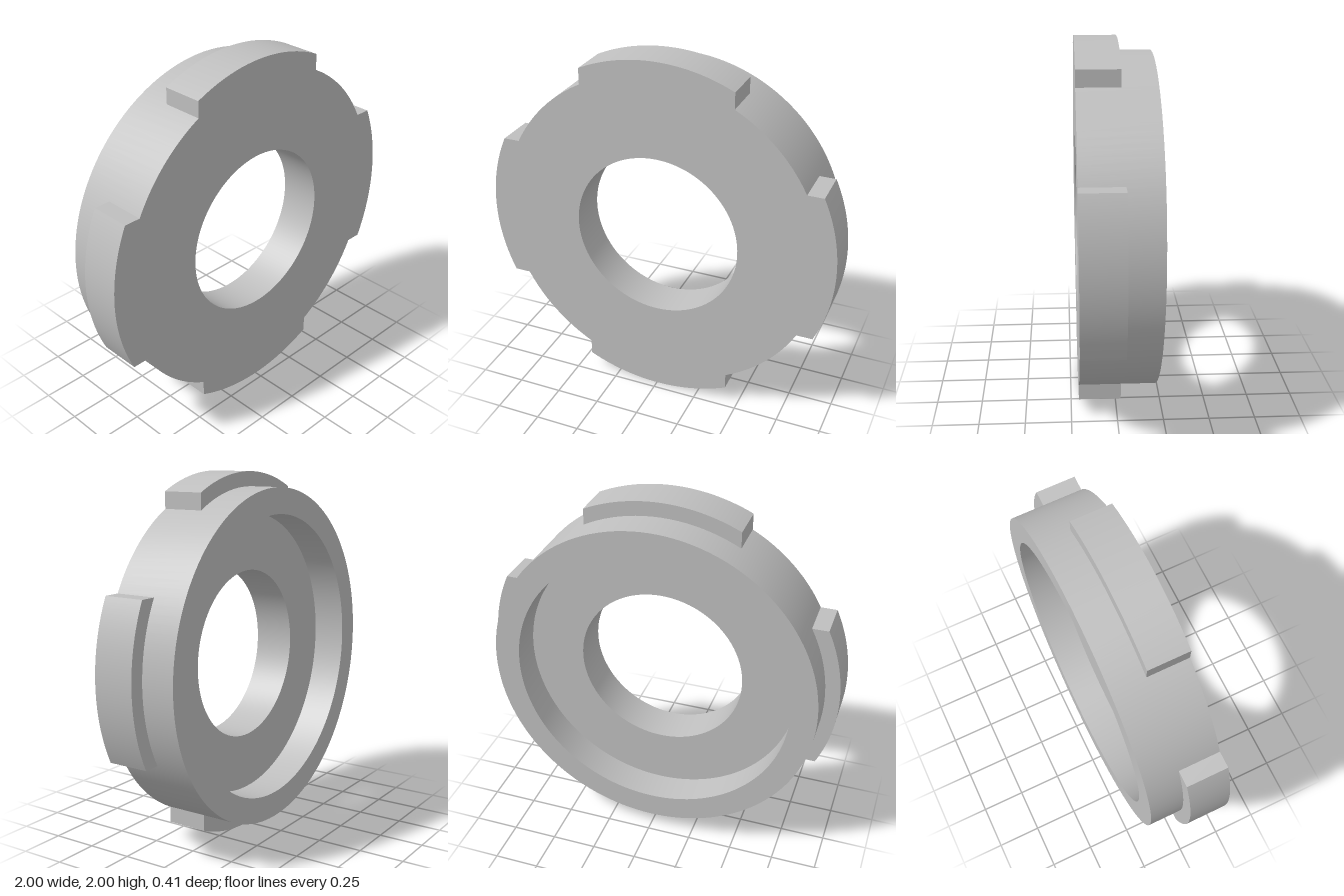
import * as THREE from 'three';
import { toCreasedNormals } from 'three/addons/utils/BufferGeometryUtils.js';

const BODY_R = 0.92, TAB_R = 1, HOLE_R = 0.467, RECESS_R = 0.778;
const FRONT = 0.207, BACK = -0.207, STEP = -0.021; // z planes
const TAB_HALF = 0.425;

export function createModel() {
  const model = new THREE.Group();
  model.name = 'lockingRing';
  const grey = new THREE.MeshStandardMaterial({ color: 0xbfbfbf });
  grey.name = 'grey';

  const ring = new THREE.Group();
  ring.name = 'ring';
  ring.position.y = 1;
  model.add(ring);

  // Ring body: bored plate with a recess turned into the back
  const profile = [
    [BODY_R, BACK], [BODY_R, FRONT], [HOLE_R, FRONT], [HOLE_R, STEP],
    [RECESS_R, STEP], [RECESS_R, BACK], [BODY_R, BACK],
  ].map(([r, z]) => new THREE.Vector2(r, z));
  const bodyGeometry = new THREE.LatheGeometry(profile, 128).rotateX(Math.PI / 2);
  const body = new THREE.Mesh(toCreasedNormals(bodyGeometry, 0.5), grey);
  body.name = 'ringBody';
  ring.add(body);

  // Tabs: parallel-sided lugs with a curved outer face, flush with the front
  const inner = BODY_R - 0.001;
  const a = Math.asin(TAB_HALF / TAB_R), b = Math.asin(TAB_HALF / inner);
  const up = Math.PI / 2;
  const shape = new THREE.Shape();
  shape.absarc(0, 0, TAB_R, up - a, up + a, false);
  shape.absarc(0, 0, inner, up + b, up - b, true);
  shape.closePath();
  const tabGeometry = toCreasedNormals(new THREE.ExtrudeGeometry(shape, {
    depth: FRONT - STEP, bevelEnabled: false, curveSegments: 32,
  }).translate(0, 0, STEP), 0.5);

  ['topTab', 'leftTab', 'bottomTab', 'rightTab'].forEach((name, i) => {
    const tab = new THREE.Mesh(tabGeometry, grey);
    tab.name = name;
    tab.rotation.z = -i * Math.PI / 2;
    ring.add(tab);
  });

  return model;
}
